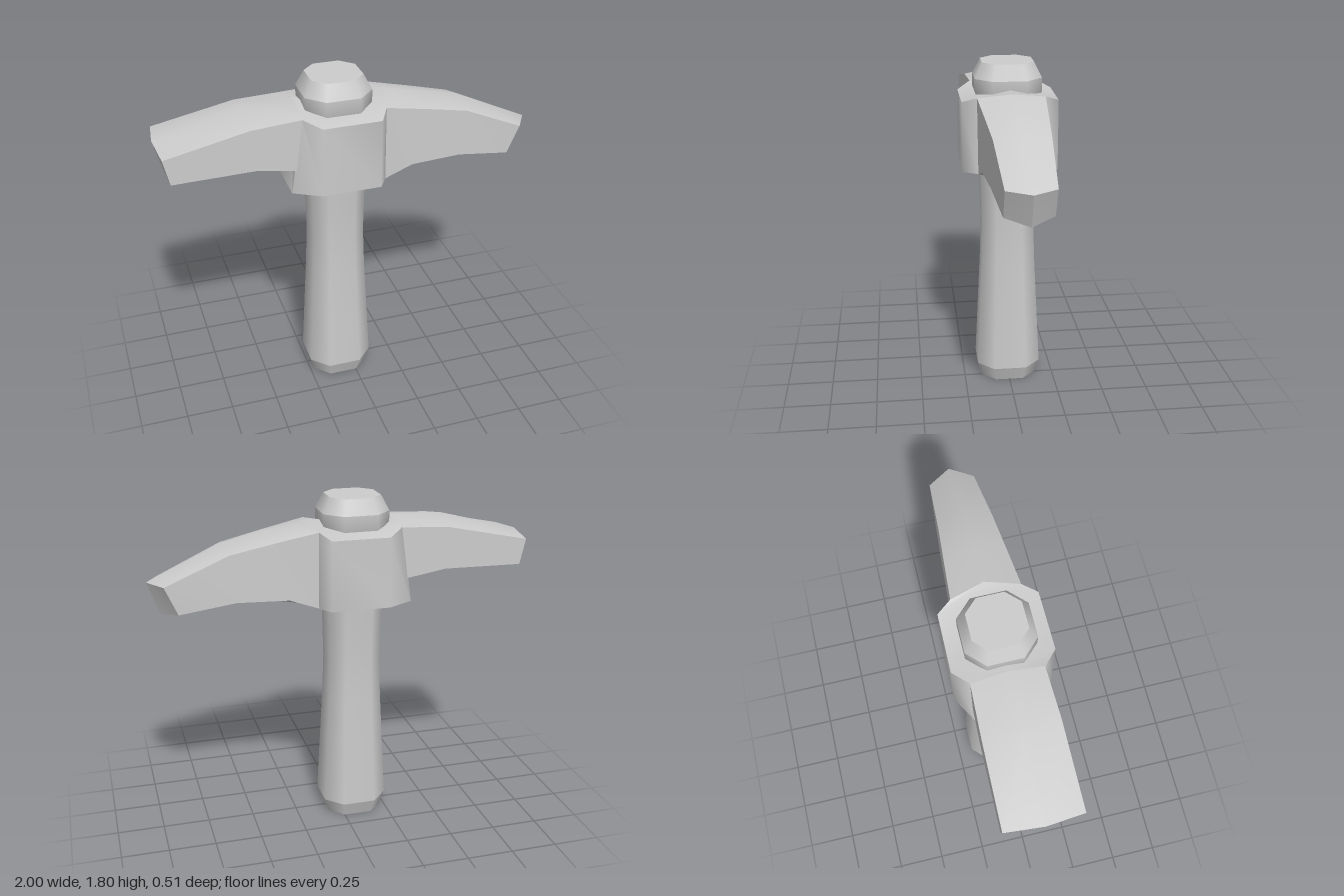
import * as THREE from 'three';
import { toCreasedNormals } from 'three/addons/utils/BufferGeometryUtils.js';

const AXIS_X = -0.075; // the handle sits slightly off centre

// Octagonal turned piece; profile holds [distance to flat, y]
function octagon(profile, material, name) {
  const k = 1 / Math.cos(Math.PI / 8);
  const points = profile.map(([r, y]) => new THREE.Vector2(r * k, y));
  const geometry = new THREE.LatheGeometry(points, 8, Math.PI / 8);
  // Widen the flats facing the axes
  const p = geometry.attributes.position;
  for (let i = 0; i < p.count; i++) {
    const x = p.getX(i), z = p.getZ(i);
    if (Math.abs(x) < Math.abs(z)) p.setX(i, x * 1.22);
    else p.setZ(i, z * 1.22);
  }
  geometry.computeBoundingSphere();
  const mesh = new THREE.Mesh(geometry, material);
  mesh.position.x = AXIS_X;
  mesh.name = name;
  return mesh;
}

// Six-sided loft along x. Each section:
// [ridge x, y,  top edge x, y, z,  keel x, y,  bottom edge x, y, z]
function loft(sections, crease, material, name) {
  const rings = sections.map(([rx, ry, tx, ty, tz, kx, ky, bx, by, bz]) => [
    [rx, ry, 0], [tx, ty, tz], [bx, by, bz],
    [kx, ky, 0], [bx, by, -bz], [tx, ty, -tz],
  ]);
  const out = [];
  const tri = (a, b, c) => out.push(...a, ...b, ...c);
  for (let s = 0; s < rings.length - 1; s++) {
    const a = rings[s], b = rings[s + 1];
    for (let i = 0; i < 6; i++) {
      const j = (i + 1) % 6;
      tri(a[i], a[j], b[j]);
      tri(a[i], b[j], b[i]);
    }
  }
  // End caps, split down the middle
  const first = rings[0], last = rings[rings.length - 1];
  for (const [i, j, k] of [[0, 1, 2], [0, 2, 3], [0, 3, 4], [0, 4, 5]]) {
    tri(first[i], first[k], first[j]);
    tri(last[i], last[j], last[k]);
  }
  const geometry = new THREE.BufferGeometry();
  geometry.setAttribute('position', new THREE.Float32BufferAttribute(out, 3));
  const mesh = new THREE.Mesh(toCreasedNormals(geometry, crease), material);
  mesh.name = name;
  return mesh;
}

export function createModel() {
  const group = new THREE.Group();
  group.name = 'pickaxe';
  const grey = new THREE.MeshStandardMaterial({ color: 0xcccccc });
  grey.name = 'plain grey';

  // Handle: end cap, chamfered foot, waisted shaft
  group.add(
    octagon([[0, 0], [0.15, 0]], grey, 'handleBottom'),
    octagon([[0.15, 0], [0.175, 0.08]], grey, 'handleFoot'),
    octagon([[0.175, 0.08], [0.157, 0.45], [0.145, 0.7], [0.139, 0.9], [0.143, 1.1], [0.15, 1.3]], grey, 'handleShaft'),
    // Butt of the handle standing above the head
    octagon([[0.15, 1.58], [0.175, 1.65], [0.175, 1.72]], grey, 'buttCollar'),
    octagon([[0.175, 1.72], [0.135, 1.8]], grey, 'buttChamfer'),
    octagon([[0.135, 1.8], [0, 1.8]], grey, 'buttTop'),
  );

  // Central eye block with chamfered corners
  group.add(loft([
    [-0.28, 1.675, -0.29, 1.65, 0.18, -0.35, 1.25, -0.35, 1.25, 0.175],
    [-0.21, 1.675, -0.205, 1.62, 0.253, -0.21, 1.245, -0.21, 1.25, 0.253],
    [0.10, 1.675, 0.10, 1.62, 0.25, 0.10, 1.235, 0.10, 1.25, 0.25],
    [0.19, 1.675, 0.147, 1.65, 0.175, 0.17, 1.225, 0.147, 1.25, 0.175],
  ], 1.08, grey, 'eyeBlock'));

  // Broad flat blade on the -x side
  group.add(loft([
    [-1.0, 1.56, -0.98, 1.545, 0.196, -0.96, 1.405, -0.95, 1.41, 0.196],
    [-0.57, 1.67, -0.55, 1.635, 0.19, -0.53, 1.375, -0.53, 1.415, 0.19],
    [-0.28, 1.675, -0.285, 1.65, 0.18, -0.33, 1.32, -0.31, 1.375, 0.18],
  ], 0.65, grey, 'broadBlade'));

  // Tapering pick on the +x side
  group.add(loft([
    [0.19, 1.675, 0.147, 1.65, 0.175, 0.17, 1.225, 0.147, 1.25, 0.172],
    [0.40, 1.635, 0.37, 1.605, 0.158, 0.35, 1.258, 0.30, 1.305, 0.165],
    [0.63, 1.58, 0.60, 1.555, 0.14, 0.59, 1.275, 0.57, 1.31, 0.148],
    [1.0, 1.41, 0.925, 1.41, 0.12, 0.94, 1.24, 0.86, 1.262, 0.12],
  ], 0.65, grey, 'pick'));

  return group;
}
